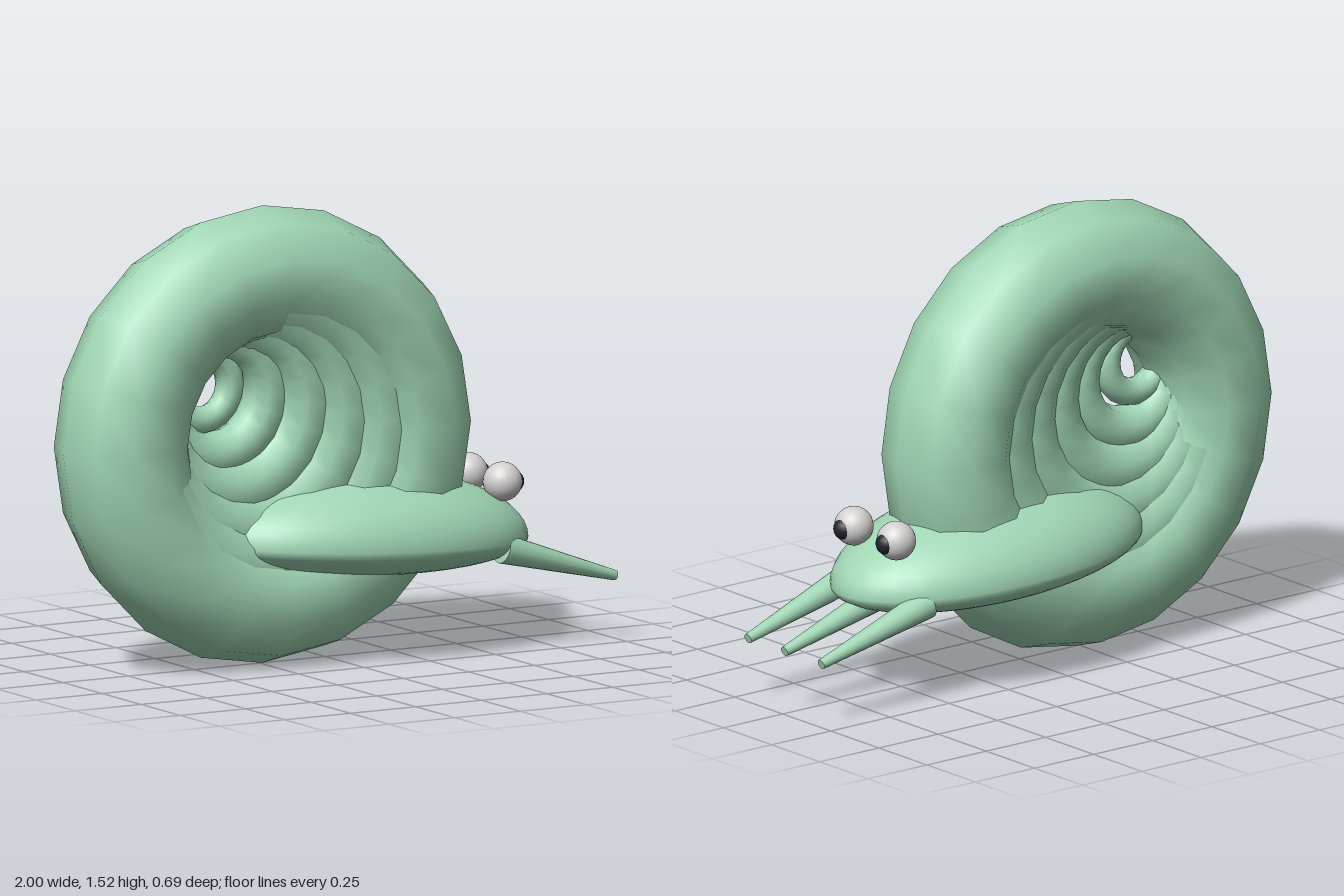
import * as THREE from 'three';

export function createModel() {
  const green = new THREE.MeshStandardMaterial({ color: 0xa0d6b4 });
  green.name = 'mint green';
  const white = new THREE.MeshStandardMaterial({ color: 0xd3d0d0 });
  white.name = 'eye white';
  const dark = new THREE.MeshStandardMaterial({ color: 0x24242e });
  dark.name = 'pupil dark';

  const model = new THREE.Group();
  model.name = 'snail';

  const add = (parent, name, geometry, material, x = 0, y = 0, z = 0) => {
    const mesh = new THREE.Mesh(geometry, material);
    mesh.name = name;
    mesh.position.set(x, y, z);
    parent.add(mesh);
    return mesh;
  };

  // Shell: nested rings shrinking towards the upper back
  const shell = new THREE.Group();
  shell.name = 'shell';
  model.add(shell);
  for (let i = 0; i < 6; i++) {
    const ring = new THREE.TorusGeometry(0.54 - 0.085 * i, 0.22 - 0.0346 * i, 10, 20);
    add(shell, 'shellRing' + (i + 1), ring, green, -0.24 - 0.048 * i, 0.765 + 0.036 * i, 0);
  }

  // Body: ellipsoid with a high back, a shallow belly and a slight forward slope
  const body = new THREE.SphereGeometry(1, 40, 28);
  const p = body.attributes.position;
  for (let i = 0; i < p.count; i++) {
    const x = p.getX(i) * 0.6;
    const y = p.getY(i);
    p.setXYZ(i, x, y * (y > 0 ? 0.23 : 0.115) - 0.05 * x, p.getZ(i) * 0.345);
  }
  body.computeVertexNormals();
  add(model, 'body', body, green, 0.14, 0.388, 0);

  // Eyes with protruding pupils
  for (const side of [1, -1]) {
    const eye = new THREE.Group();
    eye.name = side > 0 ? 'nearEye' : 'farEye';
    eye.position.set(0.61, 0.55, 0.11 * side);
    add(eye, 'eyeball', new THREE.SphereGeometry(0.065, 24, 16), white);
    add(eye, 'pupil', new THREE.SphereGeometry(0.037, 16, 12), dark, 0.04, -0.003, 0);
    model.add(eye);
  }

  // Feelers: three tapered rods pointing forward and down
  for (const side of [-1, 0, 1]) {
    const base = new THREE.Vector3(0.555, 0.345, 0.2 * side);
    const tip = new THREE.Vector3(0.992, 0.217, 0.19 * side);
    const direction = tip.clone().sub(base);
    const rod = new THREE.CylinderGeometry(0.017, 0.05, direction.length(), 16);
    const feeler = add(model, 'feeler', rod, green);
    feeler.position.copy(base).add(tip).multiplyScalar(0.5);
    feeler.quaternion.setFromUnitVectors(new THREE.Vector3(0, 1, 0), direction.normalize());
  }

  return model;
}
